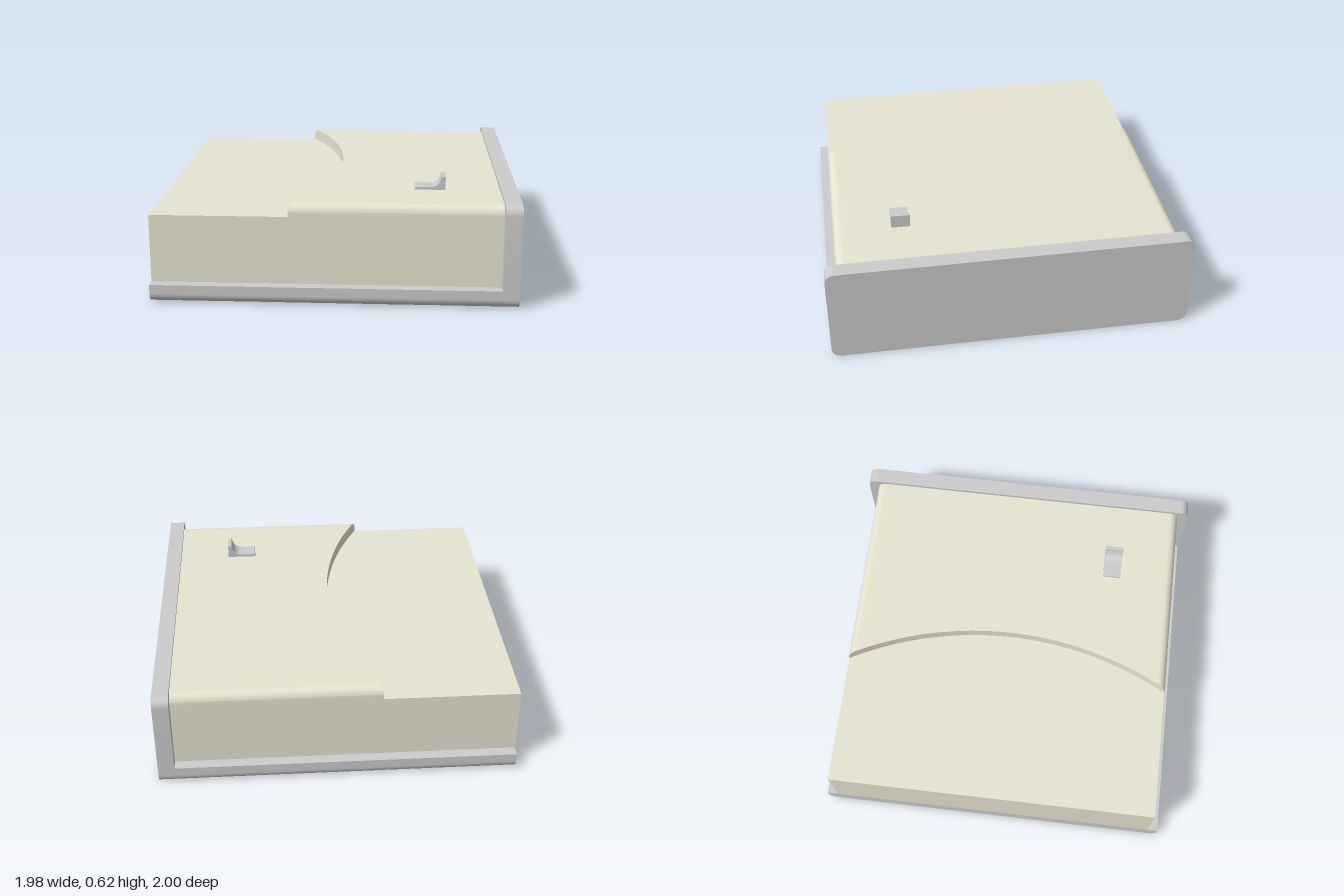
import * as THREE from 'three';
import { toCreasedNormals } from 'three/addons/utils/BufferGeometryUtils.js';

const CREASE = 0.5;
const grey = new THREE.MeshStandardMaterial({ color: 0xcccccc });
const beige = new THREE.MeshStandardMaterial({ color: 0xe6e3d0 });

function addPart(group, name, geometry, material) {
  const mesh = new THREE.Mesh(geometry, material);
  mesh.name = name;
  group.add(mesh);
}

// Panel across z with rounded lower (and optionally upper) corners
function panelShape(half, height, r, roundTop) {
  const s = new THREE.Shape();
  const t = roundTop ? r : 0;
  s.moveTo(-half + r, 0);
  s.lineTo(half - r, 0);
  s.absarc(half - r, r, r, -Math.PI / 2, 0, false);
  s.lineTo(half, height - t);
  if (t) s.absarc(half - t, height - t, t, 0, Math.PI / 2, false);
  s.lineTo(-half + t, height);
  if (t) s.absarc(-half + t, height - t, t, Math.PI / 2, Math.PI, false);
  s.lineTo(-half, r);
  s.absarc(-half + r, r, r, Math.PI, Math.PI * 1.5, false);
  return s;
}

// Extrude a cross-section along x
function extrudeX(shape, x0, x1) {
  const g = new THREE.ExtrudeGeometry(shape, { depth: x1 - x0, bevelEnabled: false, curveSegments: 10 });
  g.rotateY(Math.PI / 2).translate(x0, 0, 0);
  return toCreasedNormals(g, CREASE);
}

// Raised lid: concave arc edge toward -x, rounded along both sides
function raisedLid() {
  const half = 0.94, low = 0.475, top = 0.547, r = 0.05, end = 0.9, R = 1.926;
  const edgeX = (z) => Math.sqrt(R * R - z * z) - R;
  const side = [[half, low]];
  for (let i = 0; i <= 10; i++) {
    const a = (i / 10) * Math.PI / 2;
    side.push([half - r + r * Math.cos(a), top - r + r * Math.sin(a)]);
  }
  const stations = [...side];
  for (let i = 1; i < 40; i++) stations.push([(half - r) * (1 - i / 20), top]);
  stations.push(...side.map(([z, y]) => [-z, y]).reverse());

  const pos = [];
  const quad = (a, b, c, d) => pos.push(...a, ...b, ...c, ...a, ...c, ...d);
  for (let i = 0; i < stations.length - 1; i++) {
    const [z1, y1] = stations[i], [z2, y2] = stations[i + 1];
    const x1 = edgeX(z1), x2 = edgeX(z2);
    quad([x1, y1, z1], [end, y1, z1], [end, y2, z2], [x2, y2, z2]);
    if (z1 !== z2) quad([x1, low, z1], [x1, y1, z1], [x2, y2, z2], [x2, low, z2]);
  }
  const g = new THREE.BufferGeometry();
  g.setAttribute('position', new THREE.Float32BufferAttribute(pos, 3));
  return toCreasedNormals(g, CREASE);
}

// Small catch: flat tongue sweeping up into a finger lip
function catchGeometry() {
  const s = new THREE.Shape();
  s.moveTo(0.43, 0.54);
  s.lineTo(0.6, 0.54);
  s.lineTo(0.6, 0.622);
  s.lineTo(0.578, 0.622);
  s.bezierCurveTo(0.57, 0.585, 0.555, 0.562, 0.51, 0.562);
  s.lineTo(0.435, 0.562);
  s.lineTo(0.43, 0.557);
  const g = new THREE.ExtrudeGeometry(s, { depth: 0.105, bevelEnabled: false, curveSegments: 10 });
  g.translate(0, 0, 0.513);
  return toCreasedNormals(g, CREASE);
}

export function createModel() {
  const model = new THREE.Group();
  model.name = 'case';

  addPart(model, 'baseTray', extrudeX(panelShape(1, 0.1, 0.05, false), -0.99, 0.9), grey);
  addPart(model, 'endPlate', extrudeX(panelShape(1, 0.565, 0.05, true), 0.9, 0.99), grey);

  const body = new THREE.BoxGeometry(1.89, 0.375, 1.88).translate(-0.045, 0.2875, 0);
  addPart(model, 'body', body, beige);
  addPart(model, 'raisedLid', raisedLid(), beige);
  addPart(model, 'catch', catchGeometry(), grey);

  return model;
}
